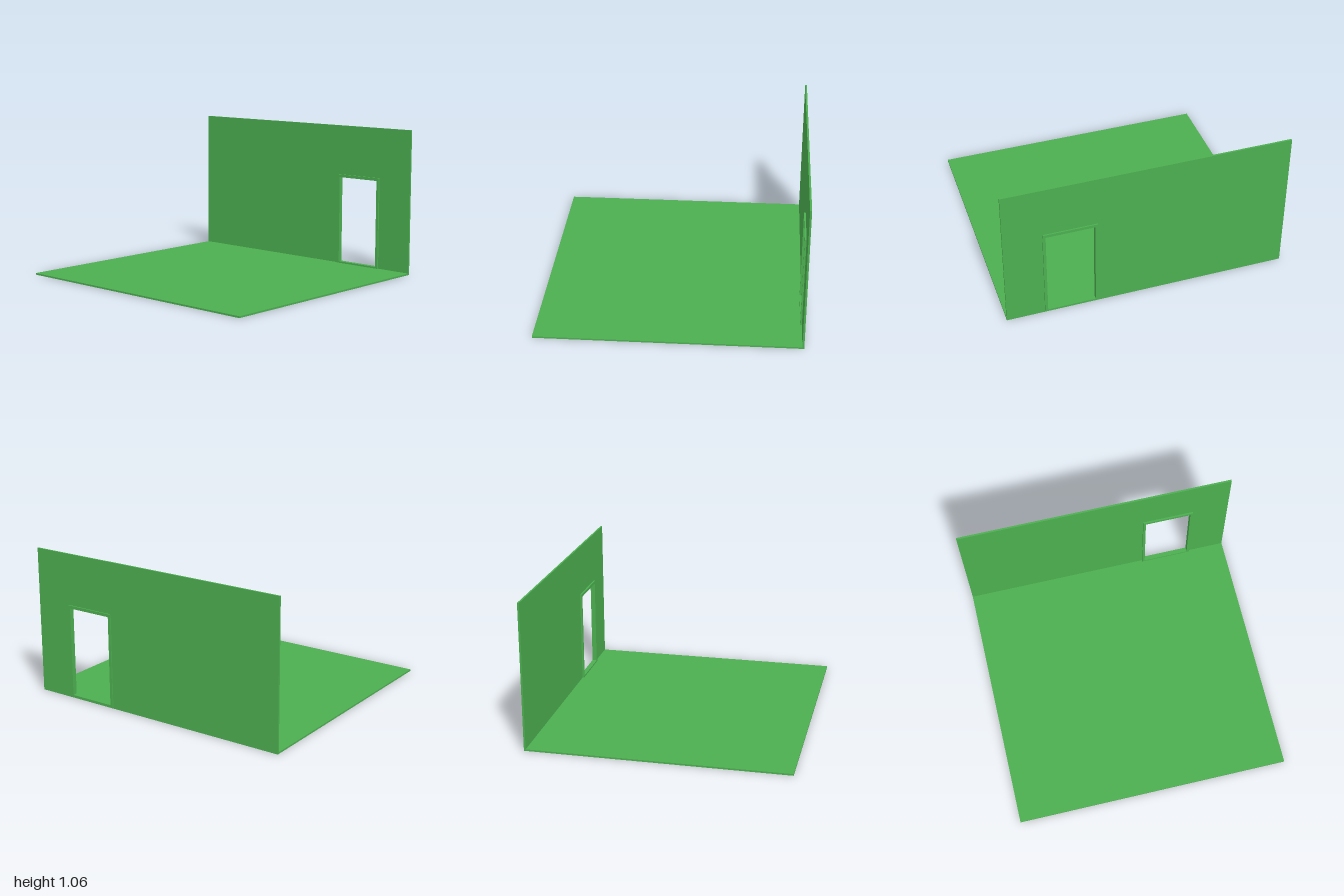
import * as THREE from 'three';

const material = new THREE.MeshStandardMaterial({ color: 0x4caf50 });

// Rectangle path from its left, bottom, right and top edges
function rect(path, l, b, r, t) {
  path.moveTo(l, b);
  path.lineTo(r, b);
  path.lineTo(r, t);
  path.lineTo(l, t);
  path.closePath();
  return path;
}

// Upright slab with a rectangular opening, spanning z0 to z1
function slabWithOpening(name, outer, opening, z0, z1) {
  const shape = rect(new THREE.Shape(), ...outer);
  shape.holes.push(rect(new THREE.Path(), ...opening));
  const geometry = new THREE.ExtrudeGeometry(shape, { depth: z1 - z0, bevelEnabled: false });
  geometry.translate(0, 0, z0);
  const mesh = new THREE.Mesh(geometry, material);
  mesh.name = name;
  return mesh;
}

export function createModel() {
  const room = new THREE.Group();
  room.name = 'room';

  const floorTop = 0.012;
  const wallBack = -0.917, wallFront = -0.904;

  // Floor
  const floor = new THREE.Mesh(new THREE.BoxGeometry(2, floorTop, 0.925 - wallBack), material);
  floor.name = 'floor';
  floor.position.set(0, floorTop / 2, (0.925 + wallBack) / 2);
  room.add(floor);

  // Door frame, with a thin sill, standing proud of both wall faces
  const frame = [0.354, floorTop, 0.732, 0.688];
  const doorway = [0.373, 0.024, 0.712, 0.667];
  room.add(slabWithOpening('doorFrame', frame, doorway, -0.926, -0.892));

  // Back wall, cut out around the frame
  const cutout = [0.36, floorTop + 0.004, 0.726, 0.682];
  room.add(slabWithOpening('backWall', [-1, floorTop, 1, 1.056], cutout, wallBack, wallFront));

  return room;
}
